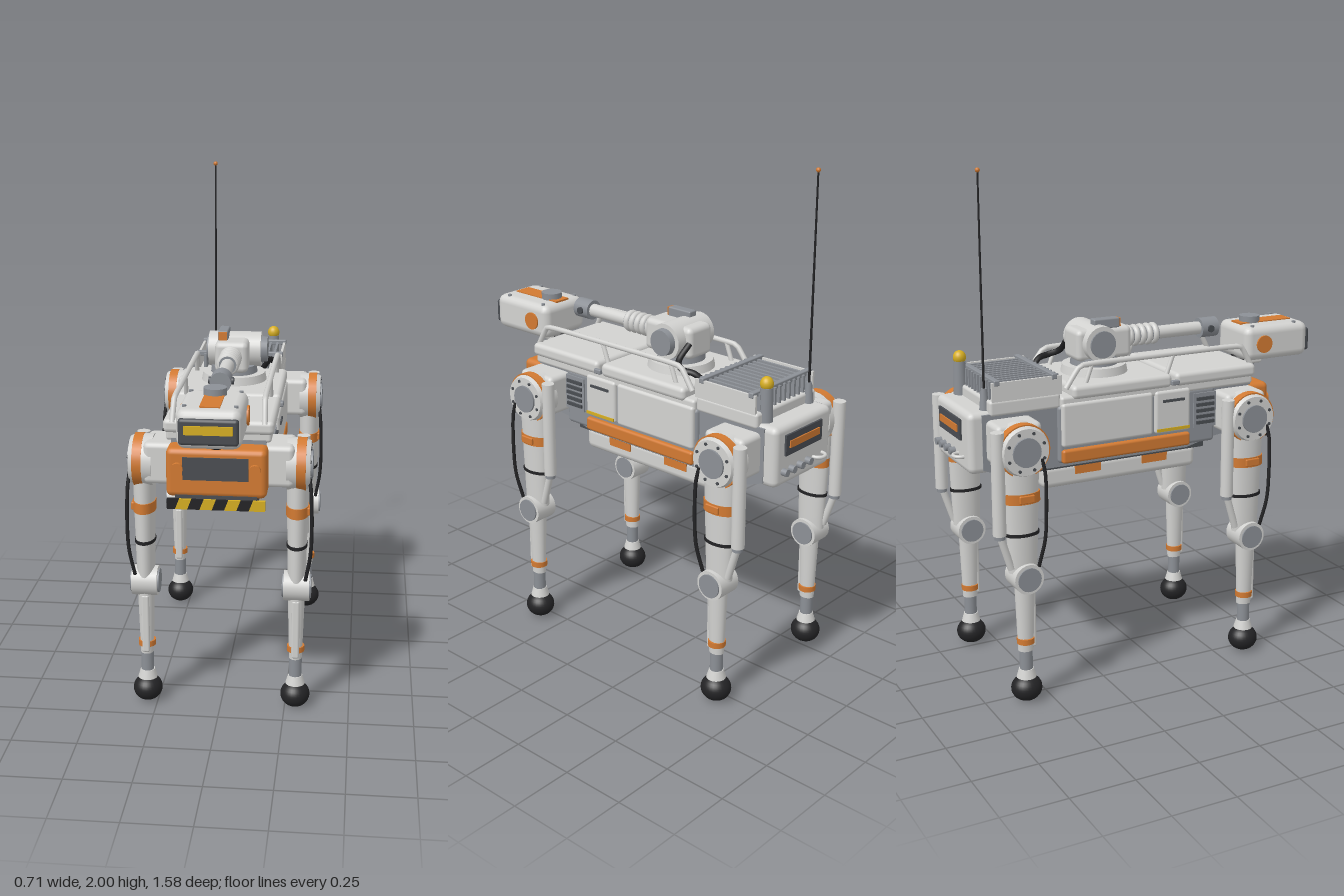
import * as THREE from 'three';
import { RoundedBoxGeometry } from 'three/addons/geometries/RoundedBoxGeometry.js';

const mat = (name, color) => Object.assign(new THREE.MeshStandardMaterial({ color }), { name });
const light = mat('light grey shell', 0xd2d2d0);
const mid = mat('mid grey metal', 0x8c9096);
const dark = mat('dark grey panel', 0x4a4d52);
const black = mat('black rubber', 0x232325);
const orange = mat('orange trim', 0xd27a32);
const yellow = mat('yellow marking', 0xd6ae22);
const V = (x, y, z) => new THREE.Vector3(x, y, z);

function add(parent, name, geo, m, x = 0, y = 0, z = 0) {
  const mesh = new THREE.Mesh(geo, m);
  mesh.name = name;
  mesh.position.set(x, y, z);
  parent.add(mesh);
  return mesh;
}
// Box given by its limits in each axis, optionally rounded
function box(p, name, m, x0, x1, y0, y1, z0, z1, r = 0) {
  const w = Math.abs(x1 - x0), h = y1 - y0, d = z1 - z0;
  const g = r ? new RoundedBoxGeometry(w, h, d, 2, r) : new THREE.BoxGeometry(w, h, d);
  return add(p, name, g, m, (x0 + x1) / 2, (y0 + y1) / 2, (z0 + z1) / 2);
}
// Cylinder between two points
function rod(p, name, m, a, b, r0, r1 = r0, seg = 20) {
  const dir = b.clone().sub(a);
  const mesh = add(p, name, new THREE.CylinderGeometry(r1, r0, dir.length(), seg), m);
  mesh.position.copy(a).add(b).multiplyScalar(0.5);
  mesh.quaternion.setFromUnitVectors(V(0, 1, 0), dir.normalize());
  return mesh;
}
function tube(p, name, m, pts, r, tension = 0.5) {
  const curve = new THREE.CatmullRomCurve3(pts, false, 'catmullrom', tension);
  return add(p, name, new THREE.TubeGeometry(curve, 40, r, 8), m);
}
// Side profile in [z, y], extruded across x
function profile(p, name, m, pts, width) {
  const shape = new THREE.Shape(pts.map(q => new THREE.Vector2(...q)));
  const g = new THREE.ExtrudeGeometry(shape, { depth: width, bevelEnabled: false });
  g.translate(0, 0, -width / 2).rotateY(-Math.PI / 2);
  return add(p, name, g, m);
}

function leg(root, s, z, name) {
  const g = new THREE.Group();
  g.name = name;
  root.add(g);
  const x = s * 0.29, y = 1.0;
  const across = (n, m, x0, x1, cy, cz, r0, r1) => rod(g, n, m, V(s * x0, cy, cz), V(s * x1, cy, cz), r0, r1, 28);
  // Hip actuator
  box(g, 'hipBlock', light, s * 0.15, s * 0.28, 0.93, 1.09, z - 0.09, z + 0.09, 0.02);
  across('hipDrum', light, 0.25, 0.29, y, z, 0.098);
  across('hipRing', orange, 0.287, 0.322, y, z, 0.1);
  across('hipCover', light, 0.32, 0.338, y, z, 0.096, 0.088);
  across('hipCap', mid, 0.337, 0.346, y, z, 0.055);
  for (let i = 0; i < 8; i++) {
    const a = (i + 0.5) * Math.PI / 4;
    across('hipBolt', dark, 0.337, 0.342, y + 0.074 * Math.sin(a), z + 0.074 * Math.cos(a), 0.006);
  }
  // Thigh, wider fore and aft than across
  const thigh = add(g, 'thigh', new THREE.CylinderGeometry(0.043, 0.034, 0.43, 24), light, x, 0.745, z - 0.005);
  thigh.scale.z = 1.65;
  const band = add(g, 'thighBand', new THREE.CylinderGeometry(0.043, 0.043, 0.04, 24), orange, x, 0.82, z - 0.002);
  band.scale.z = 1.62;
  const strap = add(g, 'cableStrap', new THREE.CylinderGeometry(0.04, 0.04, 0.012, 24), black, x, 0.68, z - 0.004);
  strap.scale.z = 1.66;
  box(g, 'bandClip', orange, s * 0.325, s * 0.338, 0.805, 0.835, z - 0.03, z + 0.03, 0.004);
  // Rear piston
  rod(g, 'pistonSleeve', light, V(s * 0.305, 0.69, z - 0.1), V(s * 0.305, 1.08, z - 0.1), 0.025);
  rod(g, 'pistonSeal', mid, V(s * 0.305, 0.675, z - 0.099), V(s * 0.305, 0.695, z - 0.1), 0.02);
  rod(g, 'pistonRod', light, V(s * 0.3, 0.55, z - 0.055), V(s * 0.305, 0.685, z - 0.098), 0.014);
  // Cable along the outer face
  tube(g, 'legCable', black, [V(s * 0.335, 0.97, z + 0.06), V(s * 0.343, 0.9, z + 0.07), V(s * 0.347, 0.77, z + 0.069),
    V(s * 0.343, 0.66, z + 0.064), V(s * 0.325, 0.55, z + 0.045)], 0.007);
  // Knee, shin and foot
  across('knee', light, 0.242, 0.34, 0.51, z, 0.058);
  across('kneeCapOuter', mid, 0.339, 0.346, 0.51, z, 0.046);
  across('kneeCapInner', mid, 0.236, 0.243, 0.51, z, 0.046);
  const shin = add(g, 'shin', new THREE.CylinderGeometry(0.033, 0.025, 0.27, 20), light, x, 0.345, z);
  shin.scale.z = 1.2;
  box(g, 'shinRidge', light, s * 0.275, s * 0.305, 0.22, 0.46, z + 0.012, z + 0.04, 0.008);
  rod(g, 'shinBand', orange, V(x, 0.24, z), V(x, 0.262, z), 0.034);
  rod(g, 'ankle', mid, V(x, 0.13, z), V(x, 0.22, z), 0.025);
  rod(g, 'ankleCollar', light, V(x, 0.1, z), V(x, 0.135, z), 0.038, 0.028);
  const foot = add(g, 'foot', new THREE.SphereGeometry(0.057, 28, 18), black, x, 0.055, z);
  foot.scale.set(1, 0.9, 1.05);
}

export function createModel() {
  const root = new THREE.Group();
  root.name = 'quadrupedRobot';

  // Torso
  profile(root, 'chassis', mid, [[-0.7, 0.9], [-0.62, 0.87], [0.16, 0.87], [0.28, 0.9], [0.45, 0.92], [0.45, 1.11], [-0.7, 1.11]], 0.35);
  box(root, 'chassisSkirt', dark, -0.15, 0.15, 0.855, 0.89, -0.6, 0.25);
  box(root, 'midBody', mid, -0.19, 0.19, 0.885, 1.11, -0.4, 0.28, 0.015);
  box(root, 'bellyPack', light, -0.145, 0.145, 0.775, 0.866, -0.45, 0.22, 0.025);
  box(root, 'frontDeck', light, -0.205, 0.205, 1.13, 1.183, 0.095, 0.46, 0.018);
  box(root, 'rearDeck', light, -0.205, 0.205, 1.13, 1.183, -0.345, 0.08, 0.018);
  box(root, 'deckBase', light, -0.195, 0.195, 1.1, 1.145, -0.39, 0.45, 0.012);
  for (const s of [-1, 1]) {
    // Side doors, trim and louvres
    box(root, 'frontDoor', light, s * 0.17, s * 0.205, 0.95, 1.12, 0.005, 0.16, 0.012);
    box(root, 'rearDoor', light, s * 0.17, s * 0.205, 0.95, 1.12, -0.39, -0.005, 0.012);
    box(root, 'doorMark', yellow, s * 0.204, s * 0.208, 0.958, 0.97, 0.01, 0.155);
    box(root, 'doorHandle', dark, s * 0.204, s * 0.211, 1.075, 1.085, 0.035, 0.13);
    box(root, 'sideTrim', orange, s * 0.17, s * 0.207, 0.887, 0.94, -0.39, 0.16, 0.01);
    box(root, 'ventBack', mid, s * 0.18, s * 0.196, 0.95, 1.09, 0.18, 0.28);
    for (let i = 0; i < 5; i++) box(root, 'ventSlat', dark, s * 0.19, s * 0.203, 0.965 + i * 0.024, 0.978 + i * 0.024, 0.19, 0.27);
    for (const z of [0.03, -0.26]) box(root, 'bellyPatch', orange, s * 0.143, s * 0.15, 0.822, 0.855, z - 0.055, z + 0.055);
    // Guard rails
    tube(root, 'guardRail', light, [V(s * 0.17, 1.17, 0.455), V(s * 0.167, 1.25, 0.41), V(s * 0.166, 1.255, 0.3),
      V(s * 0.166, 1.255, -0.2), V(s * 0.167, 1.25, -0.3), V(s * 0.17, 1.17, -0.36)], 0.011, 0.15);
    for (const z of [0.1, -0.25]) rod(root, 'railPost', light, V(s * 0.166, 1.17, z - 0.03), V(s * 0.166, 1.25, z), 0.009);
    box(root, 'sideLatch', mid, s * 0.2, s * 0.217, 1.14, 1.16, 0.07, 0.105, 0.005);
    leg(root, s, 0.37, s > 0 ? 'frontLeftLeg' : 'frontRightLeg');
    leg(root, s, -0.595, s > 0 ? 'rearLeftLeg' : 'rearRightLeg');
  }

  // Front bumper with screen and hazard strip
  box(root, 'bumper', orange, -0.185, 0.185, 0.91, 1.095, 0.42, 0.535, 0.022);
  box(root, 'bumperScreen', dark, -0.122, 0.118, 0.98, 1.065, 0.53, 0.542);
  for (const s of [-1, 1]) rod(root, 'bumperKnob', orange, V(s * 0.142, 1.022, 0.53), V(s * 0.142, 1.022, 0.55), 0.022);
  box(root, 'hazardBracket', dark, -0.15, 0.15, 0.875, 0.92, 0.43, 0.535);
  for (let i = 0; i < 8; i++) {
    const stripe = new THREE.Shape();
    const a = -0.18 + i * 0.045, top = i < 7 ? 0.015 : 0, bot = i > 0 ? 0.015 : 0;
    stripe.moveTo(a - bot + 0.0, 0.868).lineTo(a + 0.045 - top, 0.868).lineTo(a + 0.045, 0.907).lineTo(a, 0.907);
    add(root, 'hazardStripe', new THREE.ExtrudeGeometry(stripe, { depth: 0.015, bevelEnabled: false }), i % 2 ? yellow : black, 0, 0, 0.53);
  }

  // Neck and sensor head
  rod(root, 'neck', black, V(0, 1.08, 0.44), V(0, 1.19, 0.57), 0.036);
  for (let i = 0; i < 4; i++) {
    const t = 0.3 + i * 0.16;
    rod(root, 'neckRib', black, V(0, 1.08 + 0.11 * t, 0.44 + 0.13 * t), V(0, 1.09 + 0.11 * t, 0.452 + 0.13 * t), 0.048);
  }
  box(root, 'headMount', light, -0.05, 0.05, 1.14, 1.175, 0.51, 0.59, 0.01);
  box(root, 'head', light, -0.115, 0.115, 1.165, 1.308, 0.47, 0.77, 0.033);
  box(root, 'faceVisor', dark, -0.105, 0.105, 1.185, 1.28, 0.74, 0.78, 0.012);
  box(root, 'visorStrip', yellow, -0.085, 0.085, 1.225, 1.257, 0.778, 0.785);
  box(root, 'headStripe', orange, -0.036, 0.036, 1.304, 1.312, 0.49, 0.73);
  rod(root, 'headSensor', mid, V(0, 1.305, 0.552), V(0, 1.335, 0.552), 0.042);
  for (const s of [-1, 1]) {
    rod(root, 'headPivot', orange, V(s * 0.11, 1.235, 0.553), V(s * 0.122, 1.235, 0.553), 0.036);
    for (const z of [0.51, 0.71]) rod(root, 'headScrew', mid, V(s * 0.09, 1.3, z), V(s * 0.09, 1.312, z), 0.008);
  }

  // Arm turret
  rod(root, 'turretBase', light, V(0, 1.18, -0.16), V(0, 1.215, -0.16), 0.132, 0.125, 36);
  rod(root, 'turretRing', mid, V(0, 1.21, -0.16), V(0, 1.245, -0.16), 0.095, 0.09, 32);
  box(root, 'turret', light, -0.066, 0.066, 1.235, 1.36, -0.26, -0.025, 0.022);
  rod(root, 'shoulderMotor', light, V(-0.1, 1.305, -0.17), V(0.11, 1.305, -0.17), 0.07, 0.07, 28);
  rod(root, 'shoulderCap', mid, V(0.108, 1.305, -0.17), V(0.135, 1.305, -0.17), 0.053, 0.05, 28);
  rod(root, 'shoulderCapInner', mid, V(-0.108, 1.305, -0.17), V(-0.098, 1.305, -0.17), 0.053);
  box(root, 'cameraBlock', mid, -0.058, -0.018, 1.355, 1.395, -0.185, -0.075, 0.006);
  box(root, 'cameraFront', orange, -0.055, -0.021, 1.36, 1.392, -0.076, -0.07);
  rod(root, 'armSleeve', mid, V(0, 1.305, -0.03), V(0, 1.305, 0.115), 0.034);
  for (let i = 0; i < 5; i++) {
    const ring = add(root, 'bellowsRing', new THREE.TorusGeometry(0.031, 0.013, 10, 28), light, 0, 1.305, -0.012 + i * 0.028);
    ring.scale.set(1, 1, 1);
  }
  rod(root, 'forearm', light, V(0, 1.305, 0.1), V(0, 1.305, 0.32), 0.026);
  rod(root, 'wrist', mid, V(0, 1.305, 0.31), V(0, 1.305, 0.385), 0.04);
  rod(root, 'wristPin', dark, V(-0.047, 1.305, 0.345), V(0.047, 1.305, 0.345), 0.014);
  tube(root, 'armCable', black, [V(0.1, 1.17, -0.39), V(0.13, 1.22, -0.34), V(0.145, 1.23, -0.29),
    V(0.12, 1.25, -0.25), V(0.06, 1.3, -0.25)], 0.012);

  // Radiator
  box(root, 'radiatorBase', light, -0.18, 0.18, 1.1, 1.16, -0.67, -0.385, 0.012);
  for (let i = 0; i < 13; i++) {
    const x = -0.174 + i * 0.029;
    box(root, 'radiatorFin', i % 12 ? mid : light, x - 0.005, x + 0.005, 1.155, 1.227, -0.66, -0.38);
  }
  for (const z of [-0.64, -0.41]) box(root, 'radiatorBar', mid, -0.182, 0.182, 1.215, 1.236, z - 0.011, z + 0.011, 0.004);

  // Rear block with lamp, knobs and towing ring
  box(root, 'rearBlock', light, -0.172, 0.172, 0.885, 1.12, -0.752, -0.62, 0.025);
  box(root, 'rearPanel', dark, -0.1, 0.12, 1.005, 1.085, -0.76, -0.75);
  box(root, 'rearLamp', orange, -0.08, 0.1, 1.033, 1.06, -0.765, -0.758);
  for (const x of [-0.02, 0.03, 0.08, 0.125]) rod(root, 'rearKnob', mid, V(x, 0.945, -0.775), V(x, 0.945, -0.745), 0.014);
  const ring = add(root, 'towRing', new THREE.TorusGeometry(0.028, 0.007, 10, 24), light, -0.087, 0.945, -0.755);
  ring.rotation.x = Math.PI / 2;

  // Antenna and beacon
  rod(root, 'antennaBase', mid, V(-0.13, 1.11, -0.672), V(-0.13, 1.2, -0.672), 0.02, 0.011);
  rod(root, 'antenna', black, V(-0.13, 1.19, -0.672), V(-0.13, 1.985, -0.672), 0.005, 0.0035, 8);
  add(root, 'antennaTip', new THREE.SphereGeometry(0.009, 12, 8), orange, -0.13, 1.991, -0.672);
  rod(root, 'beaconBase', mid, V(0.125, 1.11, -0.668), V(0.125, 1.25, -0.668), 0.027, 0.023);
  const lamp = add(root, 'beacon', new THREE.SphereGeometry(0.025, 20, 14), yellow, 0.125, 1.263, -0.668);
  lamp.scale.y = 1.1;

  return root;
}
